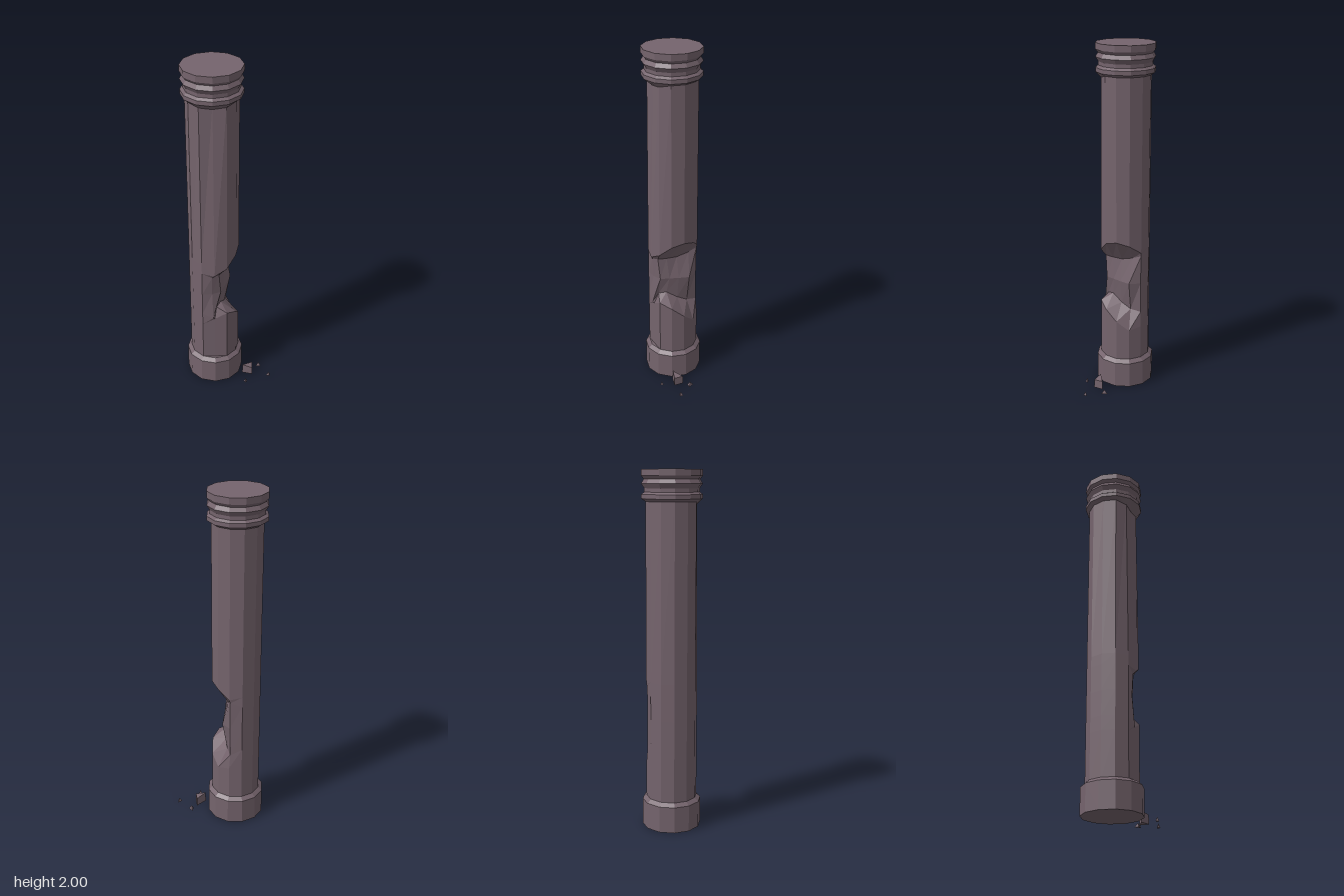
import * as THREE from 'three';
import { ConvexGeometry } from 'three/addons/geometries/ConvexGeometry.js';

const CX = -0.086, CZ = -0.011; // column axis
const R = 0.143;                // shaft radius
const SIDES = 12;

export function createModel() {
  const stone = new THREE.MeshStandardMaterial({ color: 0x75646d, flatShading: true });
  stone.name = 'weathered stone';
  const group = new THREE.Group();
  group.name = 'brokenColumn';

  const add = (name, geometry) => {
    const mesh = new THREE.Mesh(geometry, stone);
    mesh.name = name;
    group.add(mesh);
    return mesh;
  };
  const turned = (name, profile) => {
    const points = profile.map(([r, y]) => new THREE.Vector2(r, y));
    const mesh = add(name, new THREE.LatheGeometry(points, SIDES));
    mesh.position.set(CX, 0, CZ);
    return mesh;
  };

  // Base drum with a bevelled shoulder
  turned('base', [[0, 0], [0.166, 0], [0.166, 0.15], [0.143, 0.17], [0, 0.17]]);

  // Ringed capital, its lower lip chipped at the front
  const capital = turned('capital', [
    [0, 1.83], [0.143, 1.83], [0.166, 1.845], [0.166, 1.868], [0.15, 1.88], [0.15, 1.9],
    [0.166, 1.925], [0.152, 1.948], [0.166, 1.965], [0.166, 2], [0, 2],
  ]);
  const lip = capital.geometry.attributes.position;
  for (let i = 0; i < lip.count; i++) {
    if (lip.getY(i) < 1.835 && lip.getZ(i) > 0.1) {
      lip.setY(i, lip.getX(i) ** 2 < 0.001 ? 1.805 : 1.815);
      lip.setZ(i, 0.116);
    }
  }

  // Gouge per shaft corner, counted from the front towards the left side:
  // lower edge, inner low, middle, inner high, upper edge; inner points are [x, y, z]
  const gouge = {
    0: [0.46, [-0.095, 0.47, 0.12], [-0.1, 0.64, 0.108], [-0.1, 0.76, 0.115], 0.78],
    1: [0.5, [-0.075, 0.53, 0.09], [-0.05, 0.64, 0.09], [-0.06, 0.77, 0.1], 0.82],
    2: [0.47, [-0.05, 0.54, 0.05], [-0.03, 0.64, 0.04], [-0.045, 0.77, 0.05], 0.88],
    3: [0.41, [-0.03, 0.5, -0.01], [-0.01, 0.64, -0.01], [-0.035, 0.77, -0.01], 0.9],
    4: [0.355, [-0.02, 0.47, -0.07], [0.01, 0.64, -0.07], [-0.022, 0.79, -0.08], 0.88],
    5: [0.37, [-0.022, 0.46, -0.132], [-0.02, 0.64, -0.13], [-0.02, 0.81, -0.133], 0.83],
  };
  const plainRows = [0.42, 0.5, 0.64, 0.79, 0.85];

  const columns = [];
  for (let i = 0; i < SIDES; i++) {
    const angle = (i / SIDES) * Math.PI * 2;
    const x = CX + R * Math.sin(angle), z = CZ + R * Math.cos(angle);
    // The front is worn back towards its top and foot
    const outer = (y) => {
      const worn = y > 0.7 ? 0.131 - (y - 0.75) * 0.025 : 0.114;
      return [x, y, Math.min(z, worn)];
    };
    const rows = (gouge[i] || plainRows).map((p) => (Array.isArray(p) ? p : outer(p)));
    columns.push([outer(0.15), ...rows, outer(1.835)]);
  }

  // Shaft skin
  const skin = [];
  for (let i = 0; i < SIDES; i++) {
    const a = columns[i], b = columns[(i + 1) % SIDES];
    for (let j = 0; j < a.length - 1; j++) {
      skin.push(...a[j], ...b[j], ...b[j + 1], ...a[j], ...b[j + 1], ...a[j + 1]);
    }
  }
  const shaft = new THREE.BufferGeometry();
  shaft.setAttribute('position', new THREE.Float32BufferAttribute(skin, 3));
  shaft.computeVertexNormals();
  add('shaft', shaft);

  // Fallen rubble
  const hull = (name, points) =>
    add(name, new ConvexGeometry(points.map((p) => new THREE.Vector3(...p))));
  hull('largeFragment', [
    [0.08, 0, 0.08], [0.145, 0, 0.042], [0.14, 0, 0.098],
    [0.082, 0.062, 0.079], [0.143, 0.05, 0.044], [0.139, 0.05, 0.097],
  ]);
  const chips = [
    [[0.183, -0.005], [0.168, 0.028], [0.198, 0.028]],
    [[0.225, 0.112], [0.25, 0.098], [0.248, 0.12]],
    [[0.085, 0.157], [0.108, 0.155], [0.098, 0.173]],
  ];
  chips.forEach((corners, i) => {
    const mid = [0, 1].map((k) => corners.reduce((sum, c) => sum + c[k], 0) / 3);
    hull(`chip${i + 1}`, [...corners.map(([x, z]) => [x, 0, z]), [mid[0], 0.024, mid[1]]]);
  });

  return group;
}
